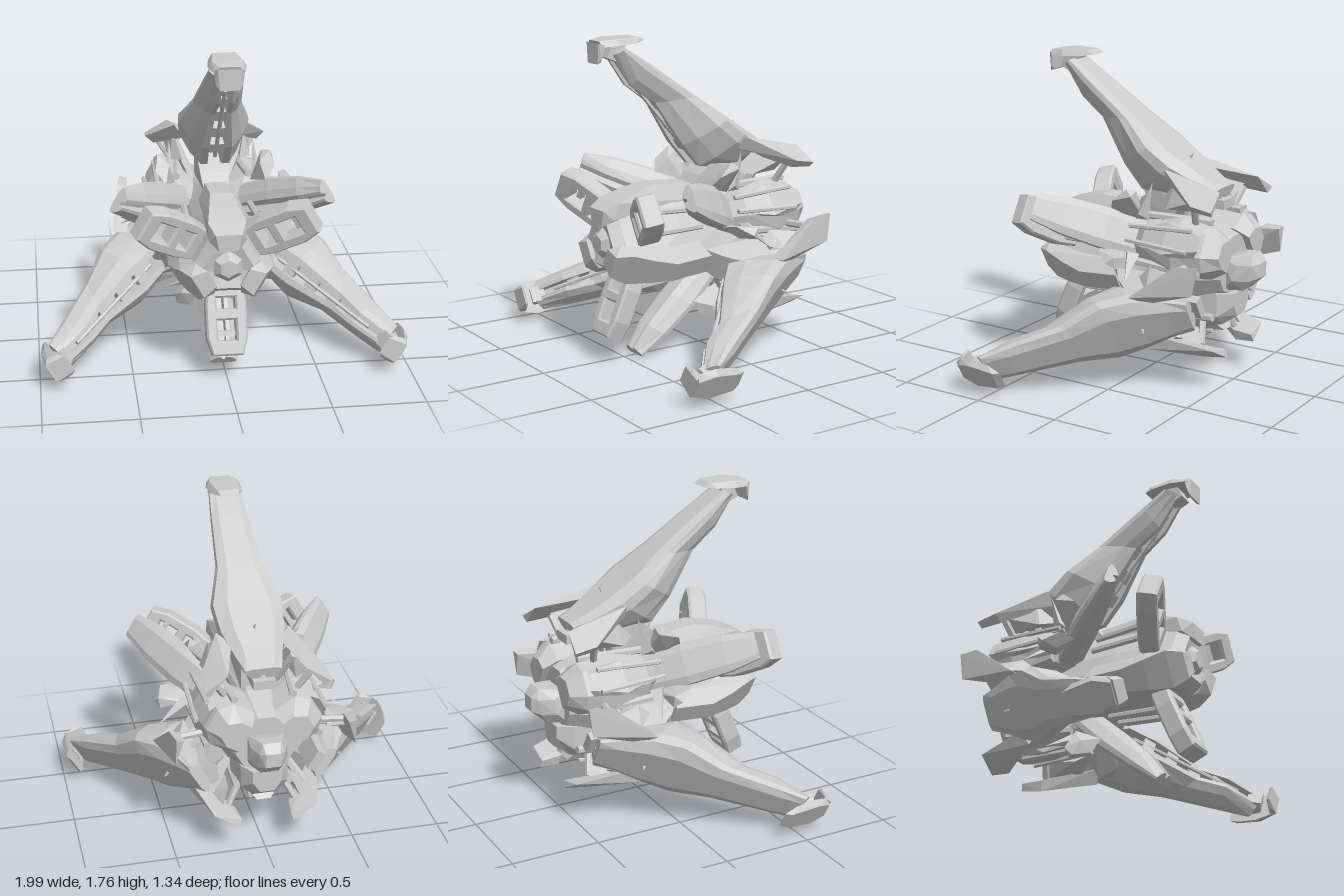
import * as THREE from 'three';
import { ConvexGeometry } from 'three/addons/geometries/ConvexGeometry.js';

const mat = new THREE.MeshStandardMaterial({ color: 0xcccccc, flatShading: true, side: THREE.DoubleSide });
const AXIS_Y = 0.66;

function add(parent, name, geo) {
  const m = new THREE.Mesh(geo, mat);
  m.name = name;
  parent.add(m);
  return m;
}

// Skin a row of closed cross-sections, with both ends capped
function loft(rings) {
  const pos = [], n = rings[0].length;
  const tri = (a, b, c) => pos.push(...a, ...b, ...c);
  for (let i = 0; i < rings.length - 1; i++) {
    for (let j = 0; j < n; j++) {
      const k = (j + 1) % n, a = rings[i], b = rings[i + 1];
      tri(a[j], b[j], b[k]);
      tri(a[j], b[k], a[k]);
    }
  }
  [rings[0], rings[rings.length - 1]].forEach((r, e) => {
    const c = [0, 1, 2].map(q => r.reduce((s, p) => s + p[q], 0) / n);
    for (let j = 0; j < n; j++) {
      if (e) tri(c, r[j], r[(j + 1) % n]); else tri(c, r[(j + 1) % n], r[j]);
    }
  });
  // Turn the faces outward if the rings wind the other way
  let vol = 0;
  for (let i = 0; i < pos.length; i += 9) {
    const [a, b, c] = [0, 3, 6].map(o => new THREE.Vector3(...pos.slice(i + o, i + o + 3)));
    vol += a.dot(b.cross(c));
  }
  if (vol < 0) {
    for (let i = 0; i < pos.length; i += 9) {
      for (let q = 0; q < 3; q++) [pos[i + 3 + q], pos[i + 6 + q]] = [pos[i + 6 + q], pos[i + 3 + q]];
    }
  }
  const g = new THREE.BufferGeometry();
  g.setAttribute('position', new THREE.Float32BufferAttribute(pos, 3));
  g.computeVertexNormals();
  return g;
}

const hull = pts => new ConvexGeometry(pts.map(p => new THREE.Vector3(...p)));
const both = pts => pts.flatMap(([x, y, z]) => [[x, y, z], [-x, y, z]]);

// Channelled plate section: outer point, inner point, half-width
function plateRing([or, oz, ir, iz, w]) {
  const at = (x, f) => [x * w, or + (ir - or) * f, oz + (iz - oz) * f];
  const half = [[0.6, 0], [0.97, 0.13], [1, 0.33], [0.72, 0.75], [0.42, 1], [0.22, 1], [0.16, 0.65]];
  return [...half.map(([x, f]) => at(x, f)), ...half.slice().reverse().map(([x, f]) => at(-x, f))];
}

function rod(parent, name, a, b, r) {
  const A = new THREE.Vector3(...a), B = new THREE.Vector3(...b), d = B.clone().sub(A);
  const m = add(parent, name, new THREE.CylinderGeometry(r, r, d.length(), 6));
  m.position.copy(A).add(B).multiplyScalar(0.5);
  m.quaternion.setFromUnitVectors(new THREE.Vector3(0, 1, 0), d.normalize());
}

function block(parent, name, size, p, tilt = 0) {
  const m = add(parent, name, new THREE.BoxGeometry(...size));
  m.position.set(...p);
  m.rotation.x = tilt;
}

// Local frame of each arm: x across, y outward from the axis, z forward
function makeWing() {
  const g = new THREE.Group();
  g.name = 'wing';
  add(g, 'wingPlate', loft([
    [1.05, 0.51, 1.01, 0.58, 0.09], [0.97, 0.38, 0.84, 0.46, 0.105], [0.77, 0.09, 0.74, 0.32, 0.13],
    [0.65, -0.08, 0.5, 0.16, 0.195], [0.56, -0.22, 0.37, 0.05, 0.18],
    [0.48, -0.35, 0.34, -0.12, 0.135], [0.43, -0.44, 0.36, -0.42, 0.1],
  ].map(plateRing)));
  add(g, 'wingTipCap', hull(both([
    [0.05, 1.08, 0.38], [0.085, 1.07, 0.45], [0.1, 1.065, 0.56], [0.08, 1.06, 0.65],
    [0.06, 1.1, 0.42], [0.08, 1.1, 0.57], [0.05, 1.09, 0.66],
  ])));
  add(g, 'wingTipLip', hull(both([
    [0.08, 1.07, 0.64], [0.06, 1.08, 0.67], [0.07, 1.0, 0.655], [0.05, 0.97, 0.67], [0.05, 0.98, 0.65],
  ])));
  block(g, 'wingTipMount', [0.09, 0.1, 0.08], [0, 1.03, 0.55], -0.4);
  // Machinery in the channel on the inner face
  [[0.84, 0.41, 0.05], [0.74, 0.31, 0.06], [0.62, 0.22, 0.08], [0.5, 0.13, 0.09]].forEach(([r, z, w]) =>
    block(g, 'channelBlock', [w, 0.07, 0.05], [0, r, z - 0.02], 0.6));
  rod(g, 'channelPipe', [0, 0.92, 0.49], [0, 0.42, 0.06], 0.012);
  add(g, 'wingNeck', hull(both([
    [0.06, 0.2, 0.14], [0.08, 0.32, 0.05], [0.09, 0.4, -0.05], [0.08, 0.4, -0.25], [0.08, 0.2, -0.25],
  ])));
  block(g, 'rearSpar', [0.12, 0.05, 0.36], [0, 0.34, -0.28]);
  add(g, 'antenna', hull(both([[0.008, 0.53, -0.17], [0.008, 0.53, -0.21], [0.003, 0.59, -0.235]])));

  for (const s of [1, -1]) {
    const f = pts => hull(pts.map(([x, y, z]) => [x * s, y, z]));
    // Slanted fin beside the wing root
    const fin = new THREE.Group();
    fin.name = 'flankFin';
    add(fin, 'finPlate', f([
      [0.34, 0.37, -0.54], [0.345, 0.39, -0.42], [0.2, 0.53, -0.17], [0.13, 0.49, -0.24], [0.21, 0.45, -0.52],
      [0.31, 0.34, -0.53], [0.3, 0.35, -0.41], [0.15, 0.46, -0.15],
    ]));
    add(fin, 'finBracket', f([
      [0.25, 0.4, -0.42], [0.2, 0.46, -0.24], [0.16, 0.34, -0.12], [0.19, 0.32, -0.38], [0.23, 0.32, -0.2],
    ]));
    rod(fin, 'finStrut', [0.2 * s, 0.42, -0.3], [0.1 * s, 0.2, -0.2], 0.025);
    rod(fin, 'finStrut', [0.27 * s, 0.37, -0.4], [0.15 * s, 0.18, -0.35], 0.02);
    add(fin, 'finSpike', f([
      [0.22, 0.28, -0.05], [0.27, 0.28, -0.05], [0.25, 0.25, -0.02], [0.24, 0.25, -0.1], [0.235, 0.46, -0.12],
    ]));
    g.add(fin);
  }
  return g;
}

function makePod() {
  const g = new THREE.Group();
  g.name = 'pod';
  add(g, 'podBlade', loft([
    [0.66, 0.42, 0.61, 0.455, 0.075], [0.56, 0.27, 0.49, 0.37, 0.105], [0.42, 0.09, 0.34, 0.22, 0.115],
    [0.27, -0.06, 0.17, 0.03, 0.1],
  ].map(plateRing)));

  // Smooth shields on both sides of the blade root
  for (const s of [1, -1]) {
    add(g, 'bladeShield', hull([
      [0.11, 0.38, 0.12], [0.14, 0.46, 0.08], [0.21, 0.48, 0], [0.22, 0.44, -0.04], [0.17, 0.48, -0.04],
      [0.1, 0.36, 0.04], [0.13, 0.34, -0.05], [0.1, 0.3, -0.04], [0.19, 0.4, 0.04],
    ].map(([x, y, z]) => [x * s, y, z])));
  }

  // Forward-leaning frame with two windows
  const shape = new THREE.Shape([[-0.08, 0], [0.08, 0], [0.1, 0.1], [0.1, 0.28], [0.075, 0.37],
    [-0.075, 0.37], [-0.1, 0.28], [-0.1, 0.1]].map(p => new THREE.Vector2(...p)));
  for (const [a, b] of [[0.06, 0.14], [0.18, 0.31]]) {
    shape.holes.push(new THREE.Path([[-0.06, a], [-0.06, b], [0.06, b], [0.06, a]].map(p => new THREE.Vector2(...p))));
  }
  const claw = add(g, 'clawFrame', new THREE.ExtrudeGeometry(shape, {
    depth: 0.085, bevelEnabled: true, bevelSize: 0.01, bevelThickness: 0.012, bevelSegments: 1,
  }));
  claw.position.set(0, 0.19, 0.42);
  claw.rotation.x = 0.4;
  block(g, 'clawCrossbar', [0.12, 0.03, 0.04], [0, 0.43, 0.53], 0.4);
  for (const s of [1, -1]) rod(g, 'clawBrace', [0.06 * s, 0.26, 0.46], [0.05 * s, 0.24, 0.14], 0.018);

  // Rear engine housing with plates and pipes
  add(g, 'engineHousing', loft([
    [0.02, 0.26, 0.07], [-0.1, 0.35, 0.12], [-0.3, 0.37, 0.15], [-0.46, 0.33, 0.13], [-0.54, 0.27, 0.08],
  ].map(([z, r, w]) => [[0.5 * w, r, z], [w, r - 0.06, z], [w, 0.14, z], [-w, 0.14, z], [-w, r - 0.06, z], [-0.5 * w, r, z]])));
  add(g, 'enginePlate', hull(both([
    [0.05, 0.35, -0.1], [0.09, 0.38, -0.25], [0.04, 0.37, -0.46], [0.06, 0.3, -0.1], [0.1, 0.3, -0.4],
  ])));
  for (const s of [1, -1]) {
    rod(g, 'enginePipe', [0.13 * s, 0.31, -0.05], [0.15 * s, 0.27, -0.45], 0.022);
    rod(g, 'enginePipe', [0.04 * s, 0.38, -0.02], [0.06 * s, 0.38, -0.4], 0.014);
  }
  return g;
}

function makeHull() {
  const g = new THREE.Group();
  g.name = 'hull';
  // Three-lobed body: lobes toward the wings, valleys toward the pods
  const ring = ([z, lobe, valley]) => Array.from({ length: 12 }, (_, i) => {
    const a = Math.PI / 2 + (i - 0.5) * Math.PI / 6;
    const r = i % 4 < 2 ? lobe : valley;
    return [Math.cos(a) * r, Math.sin(a) * r, z];
  });
  add(g, 'hullBody', loft([
    [0.62, 0.07, 0.06], [0.64, 0.17, 0.12], [0.58, 0.23, 0.16], [0.45, 0.25, 0.18], [0.25, 0.25, 0.2],
    [0, 0.24, 0.2], [-0.3, 0.24, 0.22], [-0.5, 0.17, 0.16],
  ].map(ring)));
  add(g, 'centreBoss', new THREE.CylinderGeometry(0.05, 0.11, 0.06, 6).rotateX(Math.PI / 2)).position.set(0, 0, 0.63);
  // Tapered nose panels along each lobe
  for (let i = 0; i < 3; i++) {
    const nose = add(g, 'nosePanel', hull(both([
      [0.05, 0.1, 0.66], [0.07, 0.19, 0.66], [0.1, 0.23, 0.58], [0.08, 0.27, 0.46], [0.06, 0.3, 0.33],
      [0.06, 0.28, 0.1], [0.1, 0.2, 0.15], [0.1, 0.14, 0.61],
    ])));
    nose.rotation.z = i * Math.PI * 2 / 3;
  }
  // Blunt chamfered tail
  add(g, 'tail', hull(both([
    [0.1, 0.06, -0.48], [0.06, 0.08, -0.56], [0.1, 0.03, -0.56], [0.05, 0.085, -0.63], [0.07, 0.03, -0.64],
    [0.04, 0.04, -0.67], [0.04, -0.04, -0.67], [0.07, -0.06, -0.62], [0.05, -0.12, -0.58], [0.11, -0.06, -0.54],
    [0.09, -0.12, -0.48],
  ])));
  return g;
}

export function createModel() {
  const root = new THREE.Group();
  root.name = 'ship';
  const body = new THREE.Group();
  body.name = 'body';
  body.position.y = AXIS_Y;
  body.add(makeHull());
  for (let i = 0; i < 3; i++) {
    const wing = makeWing(), pod = makePod();
    wing.rotation.z = i * Math.PI * 2 / 3;
    pod.rotation.z = Math.PI + i * Math.PI * 2 / 3;
    body.add(wing, pod);
  }
  root.add(body);
  return root;
}
